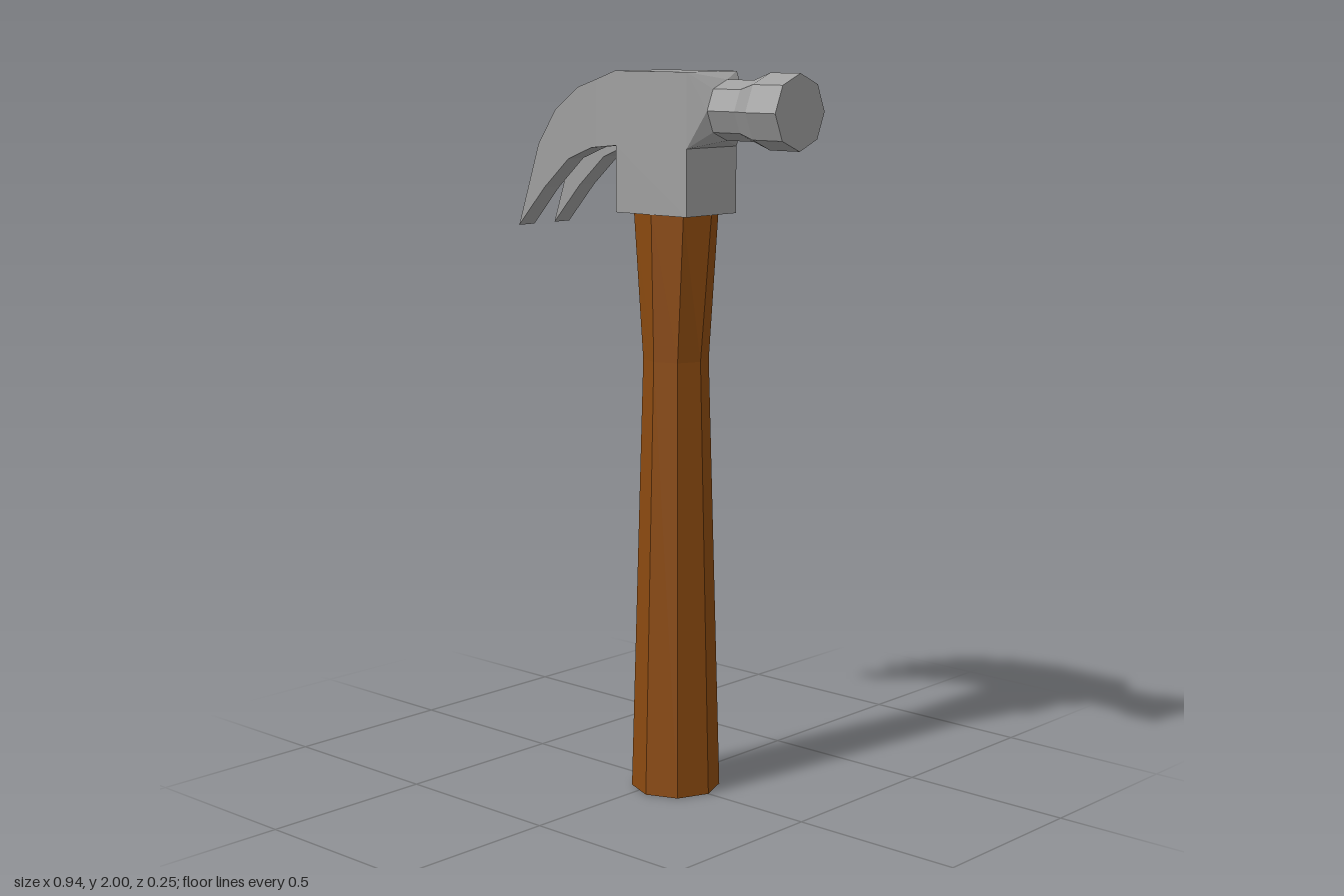
import * as THREE from 'three';
import { ConvexGeometry } from 'three/addons/geometries/ConvexGeometry.js';

const steel = new THREE.MeshStandardMaterial({ color: 0x9f9f9f });
steel.name = 'steel';
const wood = new THREE.MeshStandardMaterial({ color: 0x8b4a10 });
wood.name = 'wood';

// Give every face its own flat normal
function faceted(geometry) {
  const flat = geometry.index ? geometry.toNonIndexed() : geometry;
  flat.computeVertexNormals();
  return flat;
}

// Eight-sided turned shape from [radius, height] pairs
function octagonal(profile) {
  return new THREE.LatheGeometry(profile.map(([r, y]) => new THREE.Vector2(r, y)), 8);
}

// Side outline in x, y extruded between two depths
function slab(outline, z0, z1) {
  const shape = new THREE.Shape(outline.map(([x, y]) => new THREE.Vector2(x, y)));
  const geometry = new THREE.ExtrudeGeometry(shape, { depth: z1 - z0, bevelEnabled: false });
  return faceted(geometry.translate(0, 0, z0));
}

export function createModel() {
  const group = new THREE.Group();
  group.name = 'clawHammer';
  const add = (name, geometry, material) => {
    const mesh = new THREE.Mesh(geometry, material);
    mesh.name = name;
    group.add(mesh);
  };

  // Handle: narrow waist, flaring up to an oval top that fits the head
  const handle = octagonal([[0, 0], [0.124, 0], [0.09, 1.22], [0.128, 1.622], [0, 1.622]]);
  const pos = handle.attributes.position;
  for (let i = 0; i < pos.count; i++) {
    if (pos.getY(i) > 1.5) pos.setZ(i, pos.getZ(i) * 0.78);
  }
  add('handle', faceted(handle.translate(0.04, 0, 0)), wood);

  // Head block, up to the root of the claw slot
  add('headBlock', slab([
    [-0.09, 1.62], [0.168, 1.62], [0.168, 2], [-0.092, 2],
    [-0.163, 1.976], [-0.163, 1.793], [-0.09, 1.8],
  ], -0.1, 0.1), steel);

  // Two curved claw prongs with a slot between them
  const prong = [
    [-0.163, 1.976], [-0.235, 1.953], [-0.322, 1.89], [-0.389, 1.794], [-0.47, 1.563],
    [-0.368, 1.673], [-0.272, 1.757], [-0.183, 1.791], [-0.163, 1.793],
  ];
  add('clawProngFront', slab(prong, 0.04, 0.1), steel);
  add('clawProngBack', slab(prong, -0.1, -0.04), steel);

  // Neck root blending the square block into the octagonal neck
  const points = [];
  for (const y of [1.8, 2]) {
    for (const z of [-0.1, 0.1]) points.push(new THREE.Vector3(0.168, y, z));
  }
  for (let i = 0; i < 8; i++) {
    const a = (i * Math.PI) / 4;
    points.push(new THREE.Vector3(0.222, 1.9 + 0.08 * Math.cos(a), 0.08 * Math.sin(a)));
  }
  add('neckRoot', faceted(new ConvexGeometry(points)), steel);

  // Neck and striking face
  const poll = octagonal([[0.08, 0.222], [0.08, 0.315], [0.1, 0.37], [0.1, 0.47], [0, 0.47]]);
  poll.rotateZ(-Math.PI / 2).translate(0, 1.9, 0);
  add('strikingPoll', faceted(poll), steel);

  return group;
}
